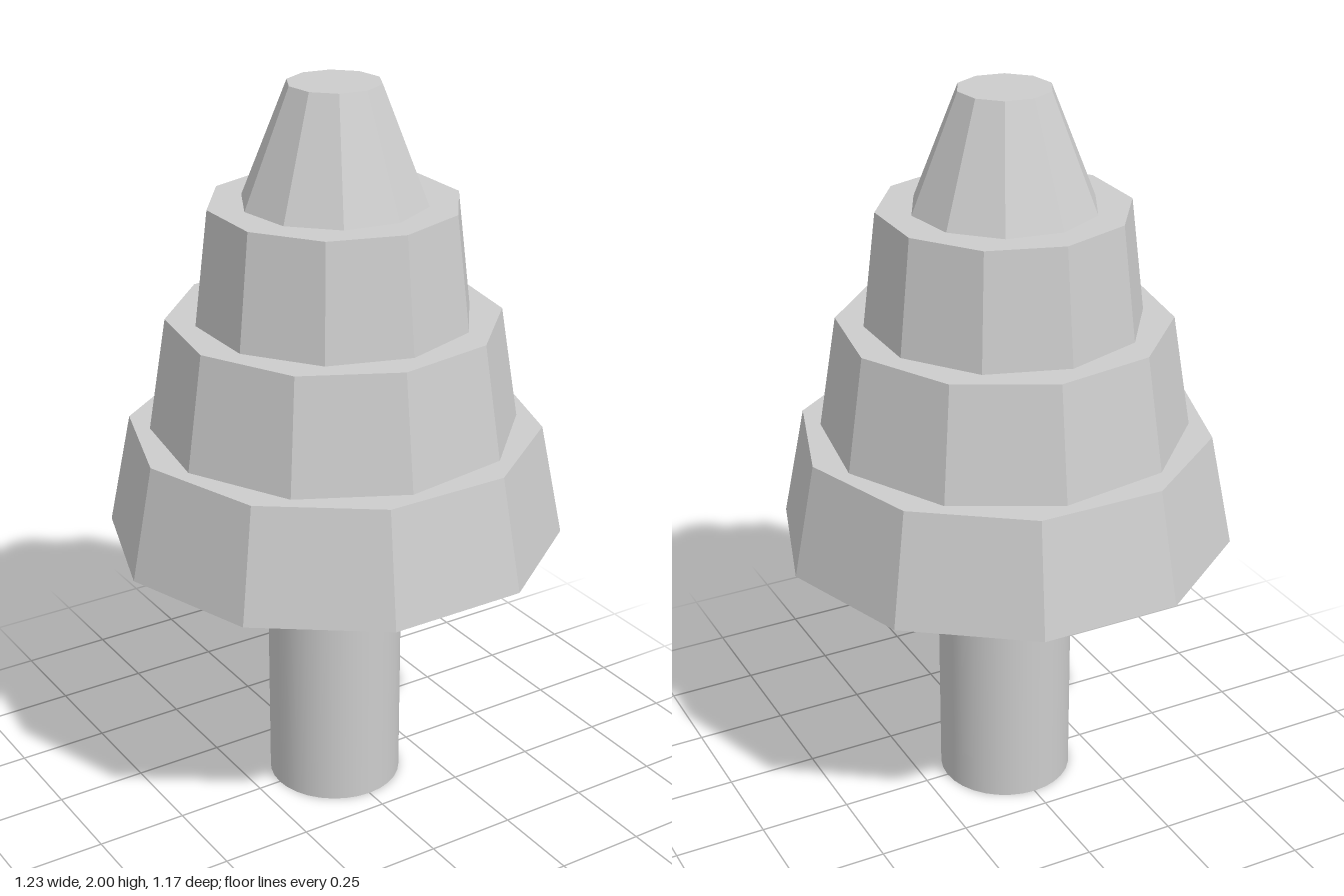
import * as THREE from 'three';

const UNIT = 2 / 6.5; // the tree is 6.5 units tall

export function createModel() {
  const tree = new THREE.Group();
  tree.name = 'tree';

  const grey = new THREE.MeshStandardMaterial({ color: 0xcccccc });
  grey.name = 'grey';
  const facetedGrey = grey.clone();
  facetedGrey.name = 'faceted grey';
  facetedGrey.flatShading = true;

  // Smooth round trunk
  const trunk = new THREE.Mesh(
    new THREE.CylinderGeometry(0.6 * UNIT, 0.6 * UNIT, 2.5 * UNIT, 32), grey);
  trunk.name = 'trunk';
  trunk.position.y = 1.25 * UNIT;
  tree.add(trunk);

  // Stacked ten-sided foliage tiers, each turned a quarter of a side further
  const tiers = [[2, 1.8], [1.6, 1.44], [1.2, 1.08], [0.8, 0.4]];
  tiers.forEach(([bottom, top], i) => {
    const tier = new THREE.Mesh(
      new THREE.CylinderGeometry(top * UNIT, bottom * UNIT, UNIT, 10), facetedGrey);
    tier.name = `foliageTier${i + 1}`;
    tier.position.y = (3 + i) * UNIT;
    tier.rotation.y = THREE.MathUtils.degToRad(18 + 9 * i);
    tree.add(tier);
  });

  return tree;
}
